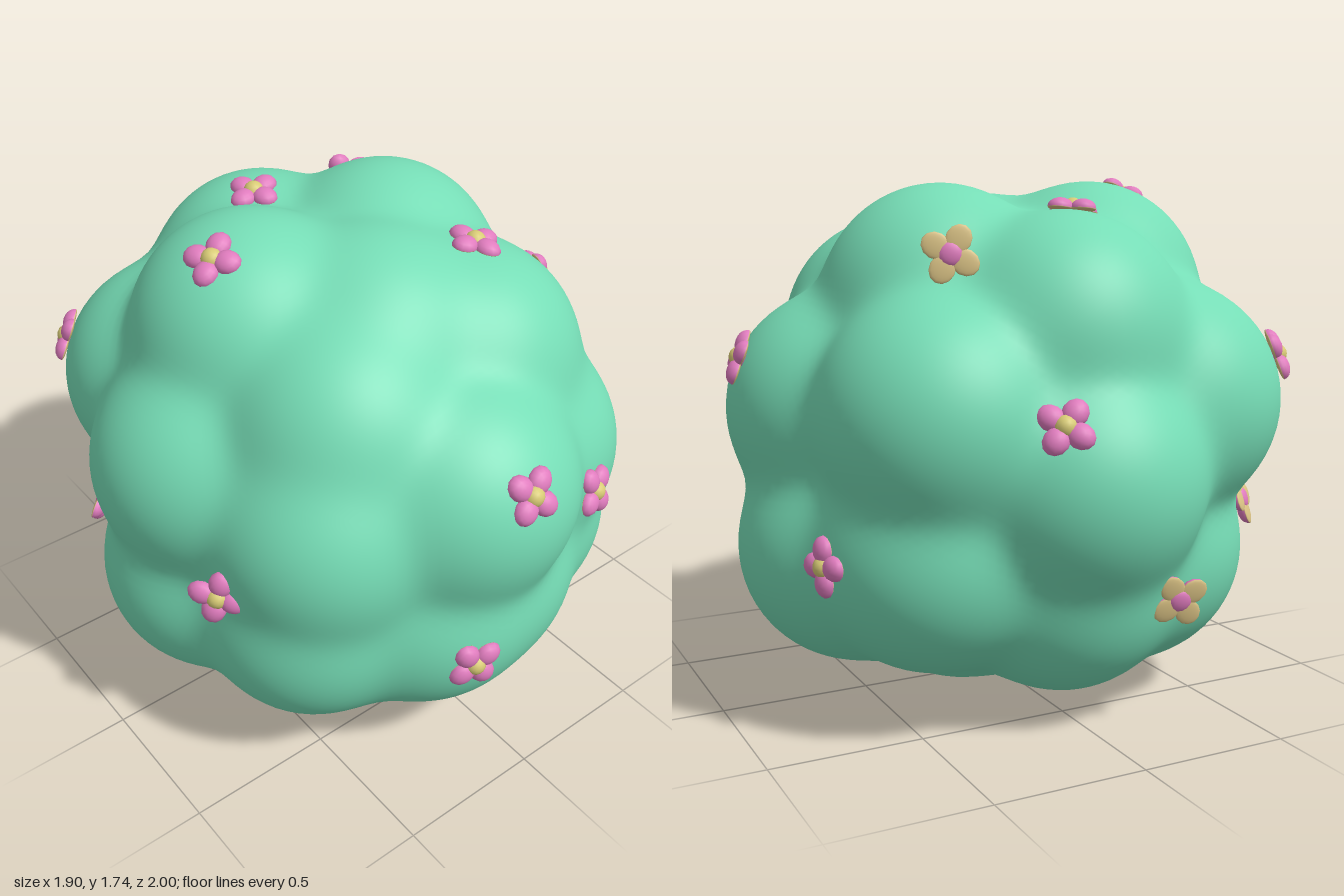
import * as THREE from 'three';
import { mergeVertices } from 'three/addons/utils/BufferGeometryUtils.js';

const CENTRE = new THREE.Vector3(0, 0.87, 0);

// Leafy lumps: x, y, z of each sphere centre, grouped from crown to base
const LUMP_RADIUS = 0.395;
const CROWN = [
  [-0.32, 1.33, -0.08], [0.26, 1.32, -0.12], [-0.02, 1.235, -0.45],
  [-0.03, 1.29, 0.18], [0.24, 1.21, 0.31], [-0.26, 1.16, 0.31],
];
const MIDDLE = [
  [0.54, 0.98, 0.03], [-0.55, 0.97, 0], [0.4, 1.0, -0.44], [-0.39, 1.01, -0.45],
  [0, 0.8, -0.6], [-0.02, 0.97, 0.595], [0.35, 0.88, 0.42], [-0.39, 0.88, 0.4],
];
const BASE = [
  [-0.1, 0.55, 0.54], [0.4, 0.53, 0.36], [-0.41, 0.54, 0.36], [0.1, 0.53, 0.5],
  [0.53, 0.53, -0.03], [-0.54, 0.53, -0.02],
  [0.39, 0.57, -0.36], [-0.33, 0.5, -0.34], [-0.02, 0.47, -0.44],
  [-0.06, 0.395, -0.03], [0.18, 0.43, -0.08],
];
const LUMPS = [...CROWN, ...MIDDLE, ...BASE].map((c) => new THREE.Vector3(...c));

// Smoothly blended distance to all lumps
function distance(p) {
  const k = 0.035;
  let sum = Math.exp(-(p.distanceTo(CENTRE) - 0.55) / k);
  for (const c of LUMPS) sum += Math.exp(-(p.distanceTo(c) - LUMP_RADIUS) / k);
  return -k * Math.log(Math.max(sum, 1e-30));
}

// Outermost surface point along a direction from the centre
function surfacePoint(dir) {
  const p = new THREE.Vector3();
  let t = 1.4;
  for (let i = 0; i < 50; i++) {
    const d = distance(p.copy(CENTRE).addScaledVector(dir, t));
    t -= d;
    if (Math.abs(d) < 0.0005) break;
  }
  return p.copy(CENTRE).addScaledVector(dir, t);
}

function surfaceNormal(p) {
  const e = 0.02;
  const slope = (axis) => {
    const a = p.clone(), b = p.clone();
    a[axis] += e;
    b[axis] -= e;
    return distance(a) - distance(b);
  };
  return new THREE.Vector3(slope('x'), slope('y'), slope('z')).normalize();
}

function foliageGeometry() {
  let geometry = new THREE.IcosahedronGeometry(1, 30);
  geometry.deleteAttribute('uv');
  geometry.deleteAttribute('normal');
  geometry = mergeVertices(geometry, 1e-4);
  const pos = geometry.attributes.position;
  const dir = new THREE.Vector3();
  for (let i = 0; i < pos.count; i++) {
    const p = surfacePoint(dir.fromBufferAttribute(pos, i).normalize());
    pos.setXYZ(i, p.x, p.y, p.z);
  }
  geometry.computeVertexNormals();
  return geometry;
}

// Blossoms: near which point, spin, whether the pale back faces outward,
// and optionally a facing of their own with a lift off the leaves
const BLOSSOMS = [
  { at: [-0.05, 1.17, 0.98], spin: 0.7 },
  { at: [0.37, 0.9, 0.83], spin: 0.75, facing: [0.3, 0.25, 0.9], lift: 0.015 },
  { at: [-0.81, 0.79, 0.41], spin: 0.5, facing: [-0.72, 0.15, 0.68], lift: 0.02 },
  { at: [-0.21, 0.55, 0.93], spin: 0.3 },
  { at: [-0.5, 1.68, 0], spin: 0.5 }, { at: [0.27, 1.62, 0.32], spin: 0.15 },
  { at: [0.92, 1.17, 0.02], spin: 0.2, facing: [0.9, 0.35, 0.2] },
  { at: [-0.09, 1.64, -0.39], spin: 0.2 },
  { at: [0.21, 1.02, -0.88], spin: 0.5 }, { at: [0.82, 0.56, -0.46], spin: 0.35 },
  { at: [-0.69, 1.16, -0.66], spin: 0.3 },
  { at: [0.38, 1.47, -0.47], spin: 0.7, flipped: true, facing: [0.35, 0.05, -0.93], lift: 0.05 },
  { at: [-0.82, 0.58, -0.45], spin: 0.75, flipped: true, facing: [-0.65, 0.3, -0.7], lift: 0.055 },
  { at: [-0.22, 0.42, -0.85], spin: 0.4, flipped: true, facing: [0.2, -0.2, -0.95], lift: 0.04 },
];

export function createModel() {
  const model = new THREE.Group();
  model.name = 'floweringBush';
  const material = (name, color) => {
    const m = new THREE.MeshStandardMaterial({ color });
    m.name = name;
    return m;
  };
  const green = material('leafGreen', 0x76ddb6);
  const pink = material('petalPink', 0xe07cbe);
  const pale = material('paleTan', 0xdcc486);
  const yellow = material('centreYellow', 0xd8cb76);

  const foliage = new THREE.Mesh(foliageGeometry(), green);
  foliage.name = 'foliage';
  model.add(foliage);

  // Half-domes: each petal is a rounded pink front with a nearly flat pale back
  const dome = new THREE.SphereGeometry(1, 12, 5, 0, Math.PI * 2, 0, Math.PI / 2);
  const up = new THREE.Vector3(0, 1, 0);

  function flowerSide(name, petalColour, centreColour, height, mirror, spin) {
    const half = new THREE.Group();
    half.name = name;
    if (mirror < 0) half.rotation.x = Math.PI;
    for (let i = 0; i < 4; i++) {
      const angle = mirror * (spin + (i * Math.PI) / 2);
      const petal = new THREE.Mesh(dome, petalColour);
      petal.name = 'petal';
      petal.position.set(Math.cos(angle) * 0.05, 0, -Math.sin(angle) * 0.05);
      petal.rotation.y = angle;
      petal.scale.set(0.046, height, 0.04);
      half.add(petal);
    }
    const button = new THREE.Mesh(dome, centreColour);
    button.name = 'flowerCentre';
    button.scale.set(0.037, height + 0.007, 0.037);
    half.add(button);
    return half;
  }

  function blossom({ at, spin, flipped = false, facing, lift = 0.006 }) {
    const flower = new THREE.Group();
    flower.name = 'blossom';
    const mirror = flipped ? -1 : 1;
    flower.add(flowerSide('pinkFront', pink, yellow, 0.032, mirror, spin));
    flower.add(flowerSide('paleBack', pale, pink, 0.008, -mirror, spin));
    const point = surfacePoint(new THREE.Vector3(...at).sub(CENTRE).normalize());
    const normal = surfaceNormal(point);
    flower.position.copy(point).addScaledVector(normal, lift);
    const aim = facing ? new THREE.Vector3(...facing).normalize() : normal;
    flower.quaternion.setFromUnitVectors(up, aim);
    model.add(flower);
  }
  BLOSSOMS.forEach(blossom);

  return model;
}
